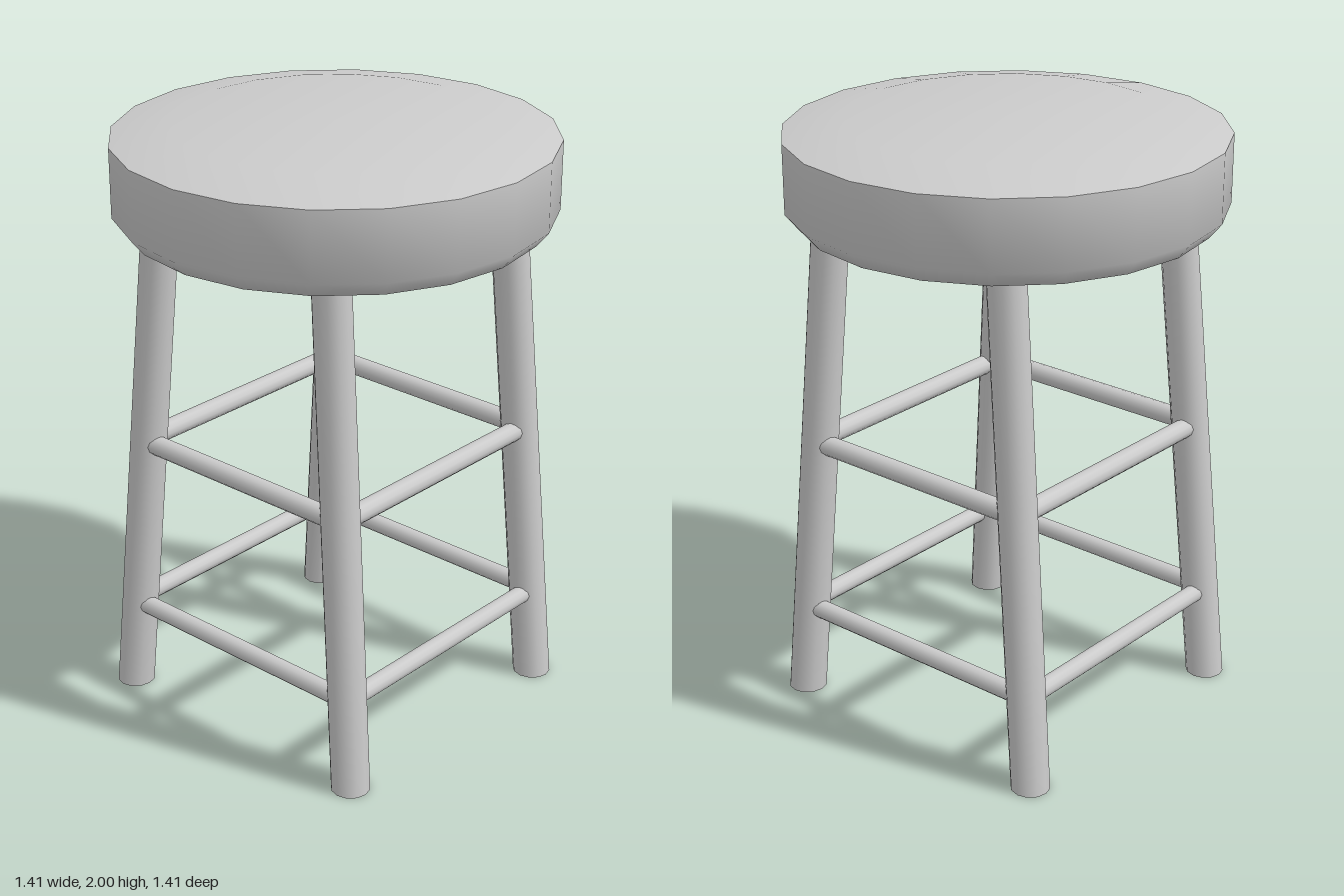
import * as THREE from 'three';
import { toCreasedNormals } from 'three/addons/utils/BufferGeometryUtils.js';

const material = new THREE.MeshStandardMaterial({ color: 0xcccccc });
const LEG_RADIUS = 0.064;
const LEG_TOP = 1.72;

function addMesh(parent, name, geometry) {
  const mesh = new THREE.Mesh(geometry, material);
  mesh.name = name;
  parent.add(mesh);
  return mesh;
}

// Leg as a leaning cylinder whose ends stay level with the floor
function legGeometry(foot, top) {
  const geometry = new THREE.CylinderGeometry(LEG_RADIUS - 0.002, LEG_RADIUS, LEG_TOP, 12);
  geometry.translate(0, LEG_TOP / 2, 0);
  const p = geometry.attributes.position;
  for (let i = 0; i < p.count; i++) {
    const t = p.getY(i) / LEG_TOP;
    p.setX(i, p.getX(i) + THREE.MathUtils.lerp(foot[0], top[0], t));
    p.setZ(i, p.getZ(i) + THREE.MathUtils.lerp(foot[1], top[1], t));
  }
  return toCreasedNormals(geometry, 0.8);
}

// Round bar between two points
function addRung(parent, name, a, b, radius) {
  const geometry = new THREE.CylinderGeometry(radius, radius, a.distanceTo(b), 12);
  const mesh = addMesh(parent, name, geometry);
  mesh.position.lerpVectors(a, b, 0.5);
  mesh.quaternion.setFromUnitVectors(new THREE.Vector3(0, 1, 0), b.clone().sub(a).normalize());
}

export function createModel() {
  const stool = new THREE.Group();
  stool.name = 'stool';

  // Twenty-sided seat with a shallow crown and a bevelled underside
  const profile = [[0, 1.685], [0.662, 1.685], [0.703, 1.735], [0.703, 1.96], [0.51, 2], [0, 2]]
    .map(([r, y]) => new THREE.Vector2(r, y));
  addMesh(stool, 'seat', toCreasedNormals(new THREE.LatheGeometry(profile, 20), 1.05));

  // Four splayed legs, in order around the seat: foot and top as [x, z]
  const legs = [
    { name: 'frontLeftLeg', foot: [0.485, 0.472], top: [0.352, 0.415] },
    { name: 'frontRightLeg', foot: [-0.502, 0.474], top: [-0.357, 0.415] },
    { name: 'backRightLeg', foot: [-0.496, -0.477], top: [-0.347, -0.42] },
    { name: 'backLeftLeg', foot: [0.491, -0.48], top: [0.36, -0.42] },
  ];
  for (const leg of legs) addMesh(stool, leg.name, legGeometry(leg.foot, leg.top));

  // Two rings of rungs, set slightly towards the outside of the legs
  const sides = [['front', 0, 1], ['right', -1, 0], ['back', 0, -1], ['left', 1, 0]];
  const axisPoint = (leg, y, dx, dz) => {
    const t = y / LEG_TOP;
    return new THREE.Vector3(
      THREE.MathUtils.lerp(leg.foot[0], leg.top[0], t) + dx * 0.012, y,
      THREE.MathUtils.lerp(leg.foot[1], leg.top[1], t) + dz * 0.012);
  };
  for (const [level, y, radius] of [['Lower', 0.32, 0.031], ['Upper', 0.93, 0.033]]) {
    sides.forEach(([side, dx, dz], i) => {
      const a = axisPoint(legs[i], y, dx, dz);
      const b = axisPoint(legs[(i + 1) % 4], y, dx, dz);
      addRung(stool, side + level + 'Rung', a, b, radius);
    });
  }
  return stool;
}
